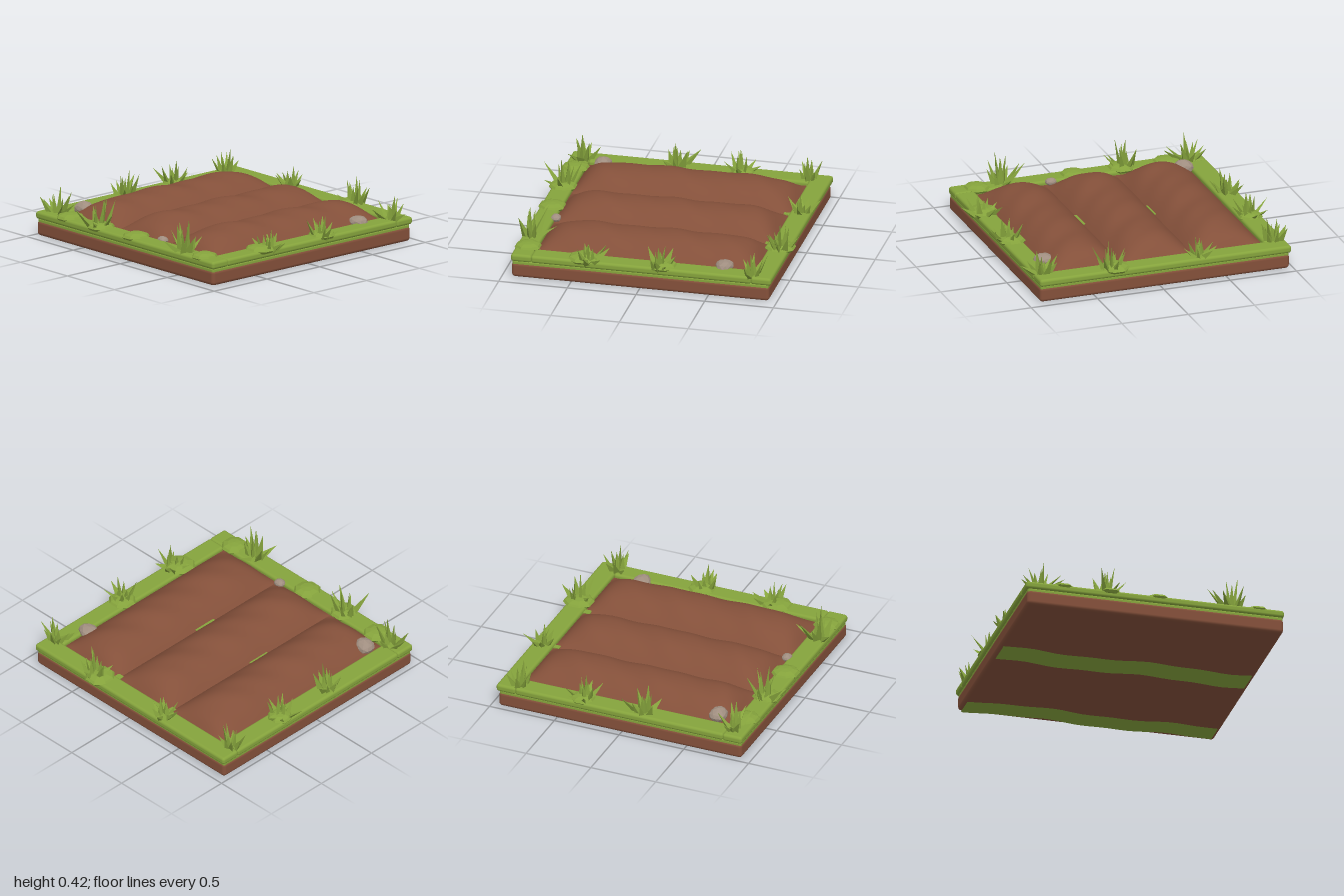
import * as THREE from 'three';
import { RoundedBoxGeometry } from 'three/addons/geometries/RoundedBoxGeometry.js';
import { mergeGeometries } from 'three/addons/utils/BufferGeometryUtils.js';

const mat = (name, color, extra = {}) => {
  const m = new THREE.MeshStandardMaterial({ color, ...extra });
  m.name = name;
  return m;
};

// Small repeatable random generator
function seeded(seed) {
  return () => {
    seed = (seed * 16807) % 2147483647;
    return seed / 2147483647;
  };
}

export function createModel() {
  const group = new THREE.Group();
  const soil = mat('soil brown', 0x84503a);
  const grass = mat('grass green', 0x85a33c);
  const grassFlat = mat('grass green', 0x85a33c, { flatShading: true });
  const stone = mat('stone grey', 0xa08e80, { flatShading: true });

  const add = (name, geo, material) => {
    const mesh = new THREE.Mesh(geo, material);
    mesh.name = name;
    group.add(mesh);
    return mesh;
  };
  // Rounded box given by its limits
  const slab = (name, x0, x1, y0, y1, z0, z1, r, material) => {
    const geo = new RoundedBoxGeometry(x1 - x0, y1 - y0, z1 - z0, 3, r);
    geo.translate((x0 + x1) / 2, (y0 + y1) / 2, (z0 + z1) / 2);
    return add(name, geo, material);
  };

  // Soil base, turf layer and turf border
  slab('soilBase', -0.97, 0.91, 0.005, 0.115, -0.945, 0.93, 0.025, soil);
  slab('turfLayer', -0.965, 0.905, 0.09, 0.132, -0.94, 0.925, 0.015, grass);
  slab('frontBorder', -0.98, 0.915, 0.125, 0.18, 0.785, 0.935, 0.02, grass);
  slab('backBorder', -0.98, 0.915, 0.125, 0.18, -0.96, -0.81, 0.02, grass);
  slab('leftBorder', 0.77, 0.915, 0.125, 0.18, -0.815, 0.79, 0.02, grass);
  slab('rightBorder', -0.98, -0.822, 0.125, 0.18, -0.815, 0.79, 0.02, grass);

  // Wavy turf bands on the underside
  for (const [z0, z1] of [[-0.92, -0.74], [-0.03, 0.19]]) {
    const geo = new THREE.PlaneGeometry(1.83, 1, 24, 1).rotateX(Math.PI / 2);
    const p = geo.attributes.position;
    for (let i = 0; i < p.count; i++) {
      const x = p.getX(i) - 0.03;
      const wave = 0.018 * Math.sin(x * 6 + z1 * 3) + 0.008 * Math.sin(x * 15);
      p.setXYZ(i, x, 0.001, (p.getZ(i) > 0 ? z1 : z0) + wave);
    }
    add('undersideTurf', geo, grass);
  }

  // Three long soil mounds
  for (const [x0, x1, ph] of [[-0.82, -0.295, 0], [-0.295, 0.24, 1.7], [0.24, 0.772, 3.1]]) {
    const geo = new THREE.PlaneGeometry(2, 2, 28, 48).rotateX(-Math.PI / 2);
    const p = geo.attributes.position;
    for (let i = 0; i < p.count; i++) {
      const u = p.getX(i), v = p.getZ(i);
      const rise = (1 - Math.abs(u) ** 2.2) * (1 - Math.abs(v) ** 9);
      const bump = 0.006 * Math.sin(v * 9 + ph + u) + 0.004 * Math.sin(v * 17 + u * 4 + ph * 2);
      p.setXYZ(i, (x0 + x1) / 2 + u * (x1 - x0) / 2, 0.15 + (0.135 + bump) * rise, -0.013 + v * 0.798);
    }
    geo.computeVertexNormals();
    add('soilMound', geo, soil);
  }

  // Slivers of turf showing in the furrows
  for (const [x, z, w, l] of [[-0.297, 0.07, 0.014, 0.17], [0.24, 0.07, 0.02, 0.18],
    [-0.29, -0.79, 0.04, 0.05], [0.245, -0.785, 0.05, 0.05]]) {
    const geo = new THREE.BoxGeometry(w, 0.008, l).translate(x, 0.156, z);
    add('furrowTurf', geo, grass);
  }

  // Tufts of pointed, leaning blades: x, z, height, spread
  const tufts = [
    [-0.9, -0.8, 0.19, 0.09], [-0.31, -0.89, 0.16, 0.09], [0.36, -0.9, 0.22, 0.1],
    [0.85, -0.81, 0.19, 0.08], [-0.9, -0.31, 0.19, 0.09], [-0.9, 0.16, 0.21, 0.1],
    [-0.86, 0.83, 0.22, 0.09], [-0.38, 0.86, 0.24, 0.1], [0.54, 0.87, 0.26, 0.09],
    [0.87, 0.37, 0.16, 0.11], [0.86, -0.14, 0.18, 0.1],
  ];
  tufts.forEach(([x, z, h, spread], n) => {
    const rand = seeded(911 + n * 377);
    const blades = [];
    for (let i = 0; i < 11; i++) {
      const a = i * 2.4 + rand() * 0.7;
      const lean = i < 4 ? 0.2 * rand() : 0.3 + 0.7 * rand();
      const len = i === 0 ? h : h * (0.5 + 0.4 * rand());
      const blade = new THREE.ConeGeometry(0.026 + 0.012 * rand(), len, 3);
      blade.translate(0, len / 2, 0).scale(1, 1, 0.6).rotateY(rand() * 6);
      blade.rotateZ(-lean).rotateY(-a);
      const r = spread * 0.45 * (i < 4 ? 0.5 : 1);
      blades.push(blade.translate(x + Math.cos(a) * r, 0.165, z + Math.sin(a) * r));
    }
    add('grassTuft', mergeGeometries(blades), grassFlat);
  });

  // Flat leafy clumps on the border: x, z, radius
  for (const [x, z, r] of [[-0.7, 0.85, 0.1], [-0.36, 0.86, 0.1], [0, 0.85, 0.1], [0.73, 0.85, 0.095],
    [0.84, 0.42, 0.11], [0.84, -0.16, 0.1], [0.33, -0.89, 0.11], [-0.9, -0.32, 0.09]]) {
    const clump = add('leafClump', new THREE.SphereGeometry(1, 8, 6), grassFlat);
    clump.scale.set(r, 0.033, r * 1.03);
    clump.position.set(x, 0.176, z);
    clump.rotation.y = Math.PI / 8;
  }

  // Stones: x, y, z, radius, height scale
  [[0.75, 0.18, -0.585, 0.078, 0.55], [-0.76, 0.195, 0.665, 0.08, 0.65], [0.2, 0.175, 0.775, 0.045, 0.6]]
    .forEach(([x, y, z, r, k], n) => {
      const geo = new THREE.IcosahedronGeometry(r, 1);
      const p = geo.attributes.position;
      for (let i = 0; i < p.count; i++) {
        const s = 1 + 0.1 * Math.sin(p.getX(i) / r * 3 + n) * Math.cos(p.getZ(i) / r * 2.5);
        p.setXYZ(i, p.getX(i) * s, p.getY(i) * s * k, p.getZ(i) * s * 0.85);
      }
      add('stone', geo.translate(x, y, z), stone);
    });

  return group;
}
